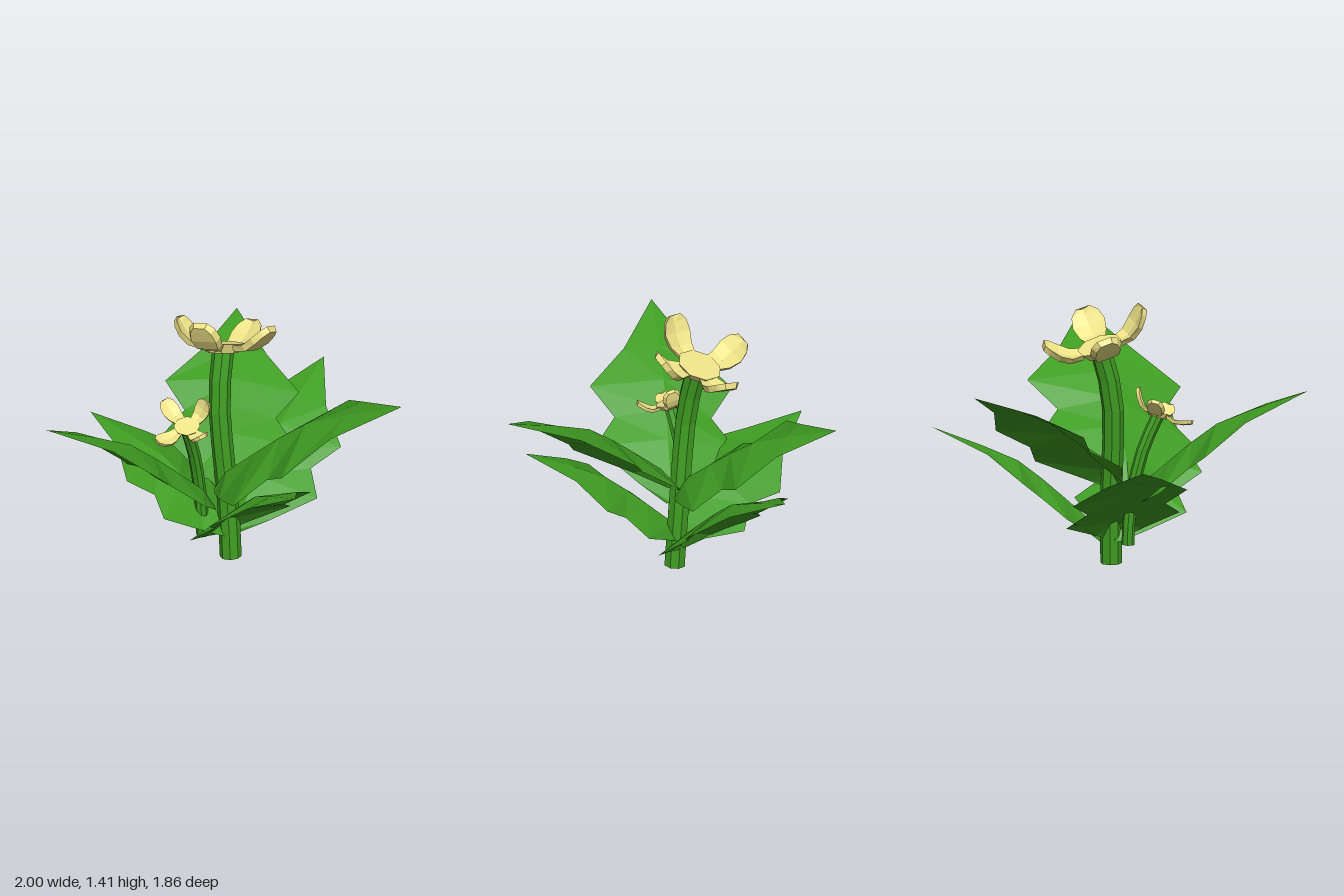
import * as THREE from 'three';

const V = (p) => new THREE.Vector3(...p);
const green = new THREE.MeshStandardMaterial({ color: 0x3f9d22, flatShading: true, side: THREE.DoubleSide });
const yellow = new THREE.MeshStandardMaterial({ color: 0xf0e488, flatShading: true, side: THREE.DoubleSide });

function mesh(name, geometry, material) {
  const m = new THREE.Mesh(geometry, material);
  m.name = name;
  return m;
}

// Joins rows of equally many points into a faceted surface
function loft(rows, closed = false) {
  const pos = [];
  const tri = (...pts) => pts.forEach((p) => pos.push(p.x, p.y, p.z));
  const n = rows[0].length;
  for (let i = 0; i < rows.length - 1; i++) {
    for (let j = 0; j < (closed ? n : n - 1); j++) {
      const k = (j + 1) % n;
      const [a, b, c, d] = [rows[i][j], rows[i][k], rows[i + 1][k], rows[i + 1][j]];
      tri(a, b, c);
      if (c.distanceTo(d) > 1e-6) tri(a, c, d);
    }
  }
  if (closed) {
    for (const [r, flip] of [[rows[0], true], [rows[rows.length - 1], false]]) {
      for (let j = 1; j < n - 1; j++) flip ? tri(r[0], r[j + 1], r[j]) : tri(r[0], r[j], r[j + 1]);
    }
  }
  const g = new THREE.BufferGeometry();
  g.setAttribute('position', new THREE.Float32BufferAttribute(pos, 3));
  g.computeVertexNormals();
  return g;
}

// Lobed leaf with a raised midrib: along, half width, edge height, rib height
const leafRows = [
  [-0.37, 0.02, -0.01, 0.01],
  [-0.24, 0.18, 0, 0.07],
  [0, 0.42, 0, 0.1],
  [0.186, 0.29, 0.018, 0.12],
  [0.382, 0.425, 0.033, 0.13],
  [0.626, 0.205, 0.056, 0.085],
  [0.985, 0, 0, 0],
];

function leaf(tip, middle, across) {
  const m = V(middle);
  const axis = V(tip).sub(m);
  const k = axis.length() / 0.985;
  axis.normalize();
  const side = V(across).addScaledVector(axis, -V(across).dot(axis)).normalize();
  const up = axis.clone().cross(side);
  if (up.y < 0) up.negate();
  const at = (t, w, h) => m.clone().addScaledVector(axis, t * k)
    .addScaledVector(side, w * k).addScaledVector(up, h * k);
  return loft(leafRows.map(([t, w, edge, rib]) => [at(t, -w, edge), at(t, 0, rib), at(t, w, edge)]));
}

// Eight-sided stem following a curve, with end caps
function stem(name, points, radius) {
  const g = new THREE.Group();
  g.name = name;
  const curve = new THREE.CatmullRomCurve3(points.map(V));
  g.add(mesh(name + 'Stalk', new THREE.TubeGeometry(curve, 7, radius, 8), green));
  for (const t of [0, 1]) {
    const cap = mesh(name + 'Cap', new THREE.CircleGeometry(radius, 8), green);
    cap.position.copy(curve.getPoint(t));
    cap.lookAt(cap.position.clone().addScaledVector(curve.getTangent(t), t ? 1 : -1));
    g.add(cap);
  }
  return g;
}

// Thick petal curving from the flower centre up to its tip
function petal(center, normal, tip, size) {
  const out = V(tip).sub(center);
  out.addScaledVector(normal, -out.dot(normal)).normalize();
  const base = center.clone().addScaledVector(out, 0.095 * size);
  const axis = V(tip).sub(base);
  const side = axis.clone().cross(normal).normalize();
  const up = side.clone().cross(axis).normalize();
  const rows = [[0, 0.05, 0], [0.3, 0.075, -0.03], [0.6, 0.09, -0.025], [0.85, 0.075, -0.01], [1, 0.04, 0]];
  return loft(rows.map(([t, w, sag]) => {
    const p = (x, y) => base.clone().addScaledVector(axis, t)
      .addScaledVector(side, x * size).addScaledVector(up, y * size);
    return [p(-w, sag + 0.02), p(0, sag + 0.005), p(w, sag + 0.02), p(w * 0.8, sag - 0.015), p(-w * 0.8, sag - 0.015)];
  }), true);
}

function flower(name, centerPoint, facing, size, tips) {
  const g = new THREE.Group();
  g.name = name;
  const center = V(centerPoint);
  const normal = V(facing).normalize();
  const disc = mesh('flowerCenter', new THREE.CylinderGeometry(0.122 * size, 0.085 * size, 0.05 * size, 8), yellow);
  disc.position.copy(center);
  disc.quaternion.setFromUnitVectors(new THREE.Vector3(0, 1, 0), normal);
  g.add(disc);
  tips.forEach((t) => g.add(mesh('petal', petal(center, normal, t, size), yellow)));
  return g;
}

export function createModel() {
  const model = new THREE.Group();
  model.name = 'floweringPlant';

  // Stems
  model.add(stem('mainStem', [[0.075, 0, -0.115], [0.075, 0.3, -0.135], [0.062, 0.9, -0.19], [0.12, 1.165, -0.222]], 0.058));
  model.add(stem('sideStem', [[-0.025, 0.12, -0.225], [-0.035, 0.3, -0.225], [-0.1, 0.62, -0.21], [-0.18, 0.81, -0.185]], 0.034));

  // Flowers
  model.add(flower('mainFlower', [0.12, 1.17, -0.23], [0.26, 0.92, -0.25], 1,
    [[-0.1, 1.39, -0.17], [0.24, 1.33, 0.03], [0.065, 1.26, -0.51], [0.415, 1.195, -0.305]]));
  model.add(flower('sideFlower', [-0.18, 0.815, -0.18], [-0.26, 0.92, 0.2], 0.58,
    [[-0.07, 0.95, -0.15], [-0.22, 0.835, -0.015], [-0.185, 0.915, -0.355], [-0.365, 0.78, -0.21]]));

  // Leaves: tip, point on the midline between the lower lobes, direction across
  const leaves = {
    frontUpperLeaf: [[0.34, 1.165, 0.93], [0.08, 0.615, 0.155], [0.92, 0.1, -0.375]],
    frontLowerLeaf: [[-0.16, 0.685, 0.64], [-0.01, 0.28, 0.05], [0.635, 0.06, 0.15]],
    rightLeaf: [[-1, 1, -0.39], [-0.295, 0.5, -0.2], [-0.135, 0.07, 0.745]],
    leftLeaf: [[1, 0.765, -0.39], [0.37, 0.3, -0.2], [0.14, -0.06, 0.66]],
    backLowerLeaf: [[-0.18, 0.64, -0.93], [-0.01, 0.27, -0.33], [0.93, -0.08, -0.36]],
    backUpperLeaf: [[0.735, 1, -0.78], [0.23, 0.56, -0.3], [0.52, -0.07, 0.49]],
  };
  for (const [name, args] of Object.entries(leaves)) model.add(mesh(name, leaf(...args), green));
  return model;
}
